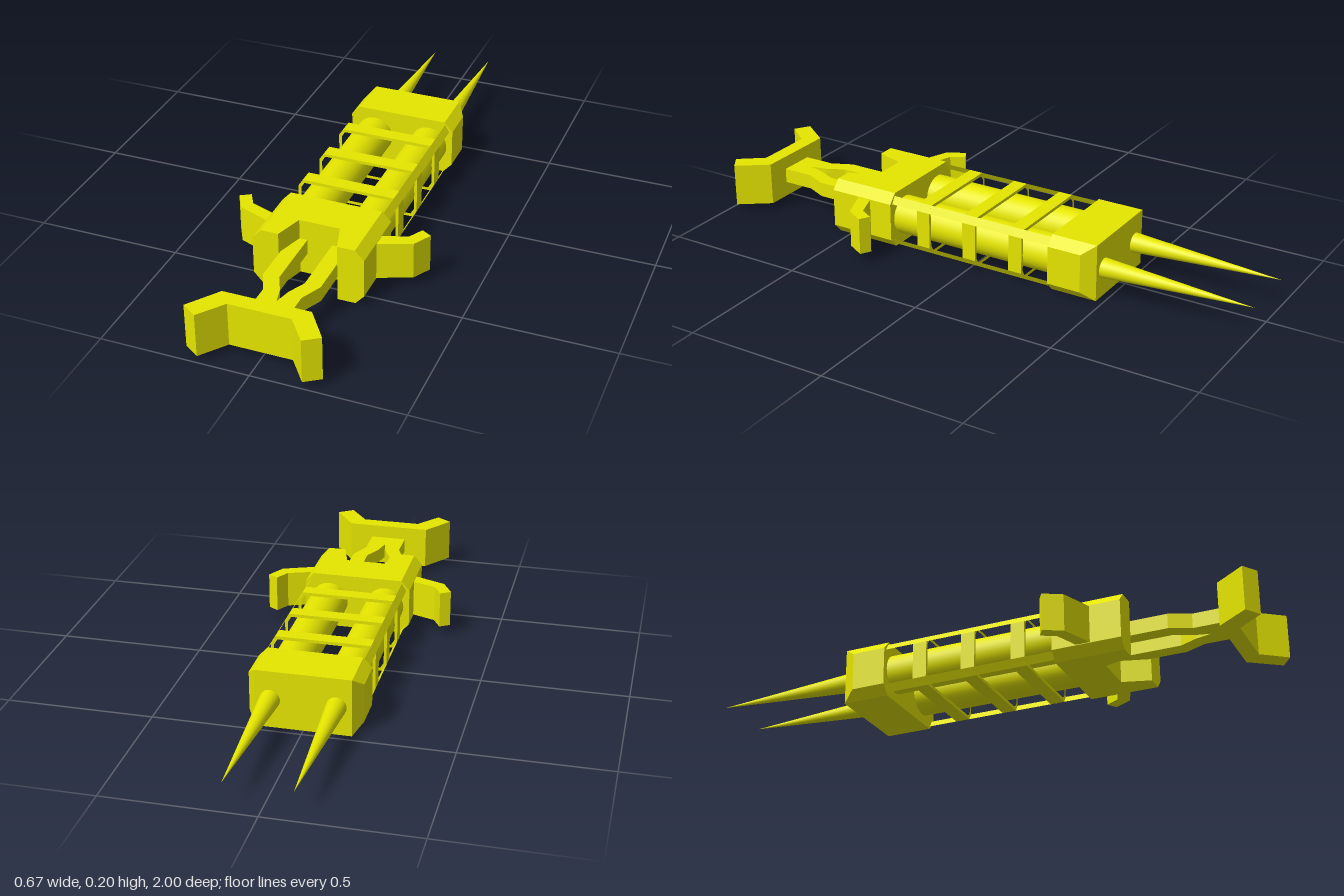
import * as THREE from 'three';
import { ConvexGeometry } from 'three/addons/geometries/ConvexGeometry.js';

const MID = 0.1; // height of the long axis

export function createModel() {
  const model = new THREE.Group();
  model.name = 'twinSyringe';
  const mat = new THREE.MeshStandardMaterial({ color: 0xe6e600 });
  const openMat = new THREE.MeshStandardMaterial({ color: 0xe6e600, side: THREE.DoubleSide });

  const add = (name, geo, material = mat) => {
    const mesh = new THREE.Mesh(geo, material);
    mesh.name = name;
    model.add(mesh);
    return mesh;
  };

  // Plan outline of [x, z] points raised from y0 to y1
  const plan = (pts, y0, y1) => {
    const shape = new THREE.Shape(pts.map(([x, z]) => new THREE.Vector2(x, -z)));
    const geo = new THREE.ExtrudeGeometry(shape, { depth: y1 - y0, bevelEnabled: false });
    return geo.rotateX(-Math.PI / 2).translate(0, y0, 0);
  };

  // Hull through sections, each a list of [x, half height] at a given z
  const hull = (sections) => new ConvexGeometry(sections.flatMap(({ z, pts }) =>
    pts.flatMap(([x, h]) => [new THREE.Vector3(x, MID + h, z), new THREE.Vector3(x, MID - h, z)])));

  // Upper half of a chamfered bar section
  const octagon = (w, h, cx, cy) => [[-w, h - cy], [-w + cx, h], [w - cx, h], [w, h - cy]];
  const body = octagon(0.19, 0.1, 0.03, 0.033);

  // Needle end block, tapered to a rectangular end face
  add('needleBlock', hull([
    { z: -0.31, pts: body },
    { z: -0.43, pts: body },
    { z: -0.475, pts: [[-0.16, 0.1], [0.16, 0.1]] },
  ]));

  // Plunger end block; the cheeks beside its notch are added below
  add('plungerBlock', hull([{ z: 0.308, pts: body }, { z: 0.45, pts: body }]));

  // Open bands around both barrels
  const ring = (half) => [...half, ...half.map(([x, h]) => [-x, -h])]
    .map(([x, h]) => new THREE.Vector2(x, MID + h));
  const bandShape = new THREE.Shape(ring(octagon(0.178, 0.09, 0.016, 0.025)));
  bandShape.holes.push(new THREE.Path(ring(octagon(0.168, 0.079, 0.012, 0.02))));
  for (const z of [-0.18, 0, 0.182]) {
    add('band', new THREE.ExtrudeGeometry(bandShape, { depth: 0.05, bevelEnabled: false })
      .translate(0, 0, z - 0.025));
  }

  for (const s of [1, -1]) {
    const mirror = (pts) => pts.map(([x, z]) => [s * x, z]);

    // Cheek beside the notch
    const outer = [[0.16, 0.1], [0.19, 0.067]];
    add('notchCheek', hull([
      { z: 0.45, pts: mirror([[0.07, 0.1], ...outer]) },
      { z: 0.548, pts: mirror([[0.1, 0.1], ...outer]) },
    ]));

    // Barrel
    add('barrel', new THREE.CylinderGeometry(0.067, 0.067, 0.64, 32)
      .rotateX(Math.PI / 2).translate(s * 0.102, MID, 0));

    // Needle
    add('needle', new THREE.ConeGeometry(0.034, 0.525, 32)
      .rotateX(-Math.PI / 2).translate(s * 0.109, MID, -0.7375));

    // Thin strips along the corners of the bands
    for (const t of [1, -1]) {
      const strip = add('cornerStrip', new THREE.PlaneGeometry(0.03, 0.62).rotateX(-Math.PI / 2), openMat);
      strip.rotation.z = t > 0 ? -s * 0.99 : Math.PI + s * 0.99;
      strip.position.set(s * 0.17, MID + t * 0.0775, 0);
    }

    // Bent finger grip
    add('fingerGrip', plan(mirror([
      [0.17, 0.4], [0.272, 0.363], [0.3, 0.314], [0.335, 0.335], [0.3, 0.398], [0.17, 0.449],
    ]), 0.035, 0.165));

    // Plunger arm
    add('plungerArm', plan(mirror([
      [0.043, 0.44], [0.097, 0.44], [0.097, 0.675], [0.064, 0.748], [0.064, 0.87],
      [0, 0.87], [0, 0.79], [0.014, 0.733], [0.043, 0.673],
    ]), 0.078, 0.13));
  }

  // Thumb rest with swept ends
  add('thumbRest', plan([
    [-0.147, 0.86], [0.147, 0.86], [0.223, 0.965], [0.171, 1], [0.105, 0.914],
    [-0.105, 0.914], [-0.171, 1], [-0.223, 0.965],
  ], 0.025, 0.177));

  return model;
}
